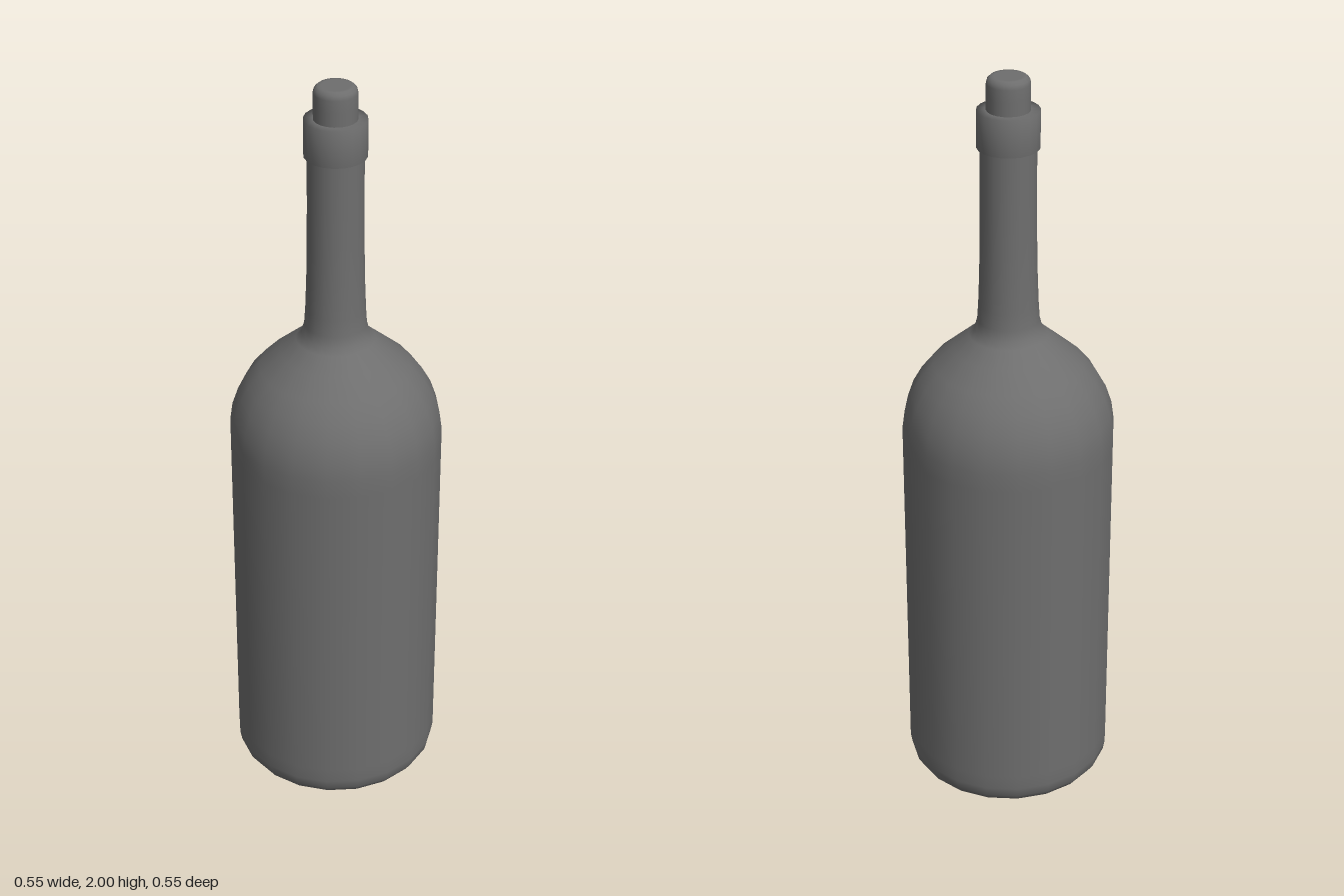
import * as THREE from 'three';

const SIDES = 20;
const material = new THREE.MeshStandardMaterial({ color: 0x6e6e6e });

// Turned part from [radius, height] points, listed from bottom to top
function turned(name, profile) {
  const points = profile.map(([r, y]) => new THREE.Vector2(r, y));
  const mesh = new THREE.Mesh(new THREE.LatheGeometry(points, SIDES), material);
  mesh.name = name;
  return mesh;
}

export function createModel() {
  const bottle = new THREE.Group();
  bottle.name = 'bottle';

  // Flat base with rounded rim, straight wall, domed shoulder and slim tapering neck
  bottle.add(turned('body', [
    [0, 0], [0.215, 0], [0.235, 0.003], [0.258, 0.013], [0.272, 0.033], [0.277, 0.06],
    [0.277, 0.1], [0.277, 1.0], [0.277, 1.05], [0.27, 1.1], [0.254, 1.147],
    [0.23, 1.19], [0.196, 1.231], [0.144, 1.276], [0.102, 1.312], [0.087, 1.328],
    [0.08, 1.355], [0.077, 1.4], [0.074, 1.48], [0.072, 1.58], [0.071, 1.7], [0.071, 1.83],
  ]));

  // Raised band around the mouth, shaded softly over its edges
  bottle.add(turned('lip', [
    [0.068, 1.819], [0.079, 1.819], [0.079, 1.915], [0.053, 1.915],
  ]));

  // Stopper with a softened top edge
  bottle.add(turned('stopper', [
    [0.055, 1.91], [0.055, 1.95], [0.055, 1.982], [0.052, 1.993], [0.044, 2], [0.035, 2], [0, 2],
  ]));

  return bottle;
}
